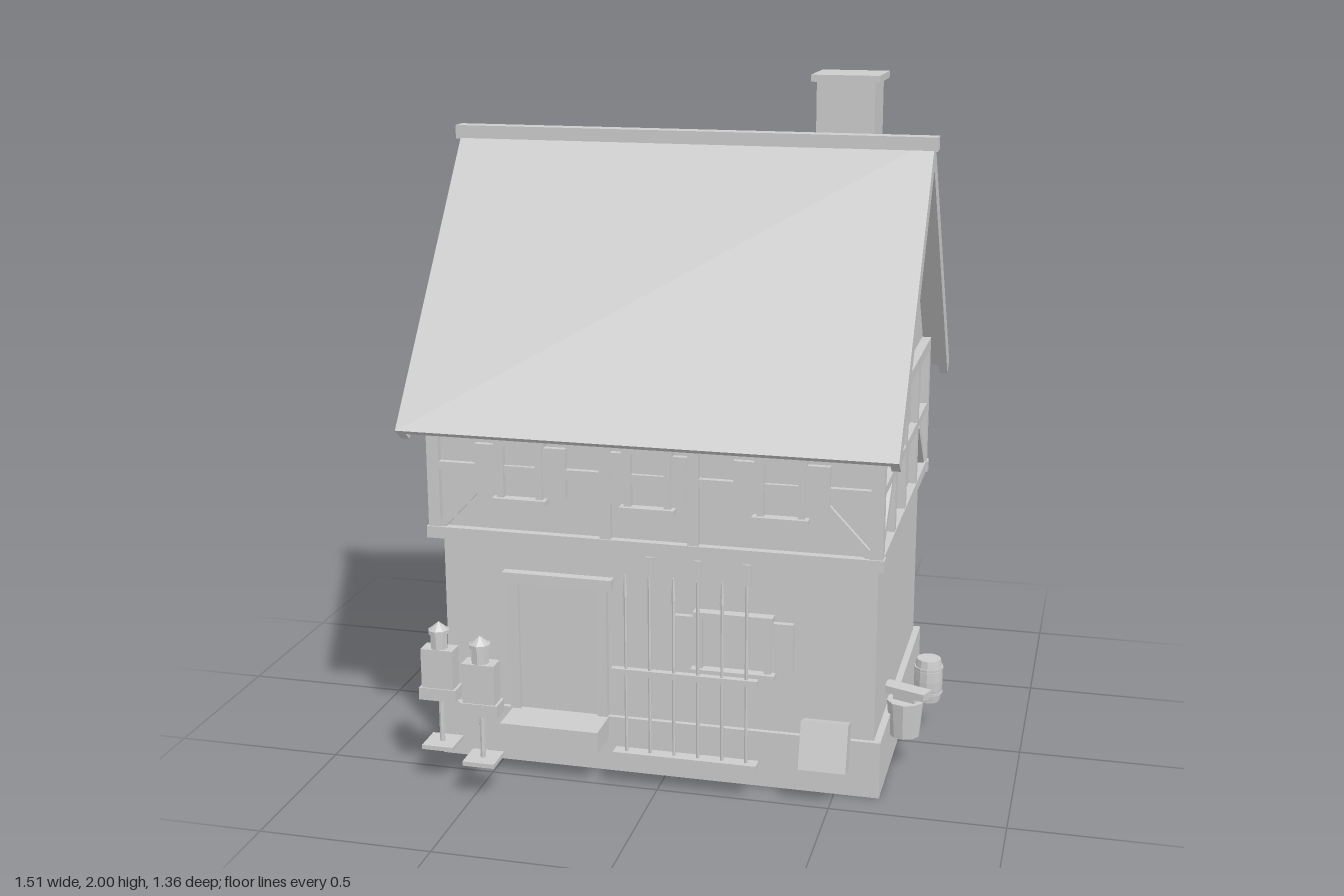
import * as THREE from 'three';

const stone = new THREE.MeshStandardMaterial({ color: 0xcccccc, flatShading: true });
stone.name = 'plain grey';

export function createModel() {
  const house = new THREE.Group();
  house.name = 'timberHouse';

  const add = (name, geometry, x = 0, y = 0, z = 0, parent = house) => {
    const mesh = new THREE.Mesh(geometry, stone);
    mesh.name = name;
    mesh.position.set(x, y, z);
    parent.add(mesh);
    return mesh;
  };
  // box given by its extents
  const box = (name, x0, x1, y0, y1, z0, z1, parent = house) =>
    add(name, new THREE.BoxGeometry(x1 - x0, y1 - y0, z1 - z0),
      (x0 + x1) / 2, (y0 + y1) / 2, (z0 + z1) / 2, parent);
  // profile in (z, y), swept along x
  const sweep = (name, points, x0, x1) => {
    const shape = new THREE.Shape(points.map(([z, y]) => new THREE.Vector2(-z, y)));
    const g = new THREE.ExtrudeGeometry(shape, { depth: x1 - x0, bevelEnabled: false });
    g.rotateY(Math.PI / 2);
    return add(name, g, x0, 0, 0);
  };

  // walls
  box('plinth', -0.69, 0.63, 0, 0.17, -0.53, 0.405);
  box('groundWalls', -0.67, 0.61, 0.17, 0.71, -0.505, 0.39);
  const cz = -0.06;
  sweep('upperWalls', [[0.435, 0.71], [0.435, 1.15], [cz, 1.785], [-0.555, 1.15], [-0.555, 0.71]], -0.665, 0.605);

  // timber frame
  box('sillBeamFront', -0.695, 0.635, 0.70, 0.735, 0.42, 0.46);
  box('sillBeamBack', -0.695, 0.635, 0.70, 0.735, -0.58, -0.54);
  box('plateFront', -0.69, 0.63, 1.09, 1.125, 0.42, 0.455);
  box('plateBack', -0.69, 0.63, 1.09, 1.125, -0.575, -0.54);
  box('railFront', -0.66, 0.60, 0.905, 0.93, 0.43, 0.453);
  box('railBack', -0.66, 0.60, 0.905, 0.93, -0.573, -0.55);
  for (const x of [-0.672, 0.612])
    for (const z of [0.437, -0.557])
      box('cornerPost', x - 0.018, x + 0.018, 0.73, 1.11, z - 0.018, z + 0.018);
  for (const x of [-0.16, 0.095]) box('frontPost', x - 0.016, x + 0.016, 0.73, 1.11, 0.43, 0.455);
  for (const x of [-0.465, -0.215, 0.1, 0.405]) box('backPost', x - 0.015, x + 0.015, 0.73, 1.11, -0.575, -0.55);

  // slanting brace on a front or back wall
  const braceX = (x0, x1, z) => {
    const dx = x1 - x0, dy = 0.165;
    add('brace', new THREE.BoxGeometry(Math.hypot(dx, dy), 0.025, 0.02), (x0 + x1) / 2, 0.82, z)
      .rotation.z = Math.atan2(dy, dx);
  };
  braceX(-0.655, -0.5, 0.44);
  braceX(0.595, 0.44, 0.44);
  braceX(-0.655, -0.5, -0.56);

  // gable timbers, both ends
  for (const [a, b] of [[0.60, 0.63], [-0.69, -0.66]]) {
    box('gableSill', a, b, 0.70, 0.735, -0.58, 0.46);
    box('gableTie', a, b + 0.003, 1.11, 1.145, -0.55, 0.43);
    box('gableRail', a, b - 0.003, 0.905, 0.93, -0.55, 0.43);
    box('kingPost', a, b - 0.003, 1.145, 1.75, cz - 0.016, cz + 0.016);
    for (const z of [0.185, -0.04, -0.305]) box('gablePost', a, b - 0.002, 0.73, 1.11, z - 0.016, z + 0.016);
    for (const [z0, z1] of [[0.42, 0.24], [-0.54, -0.37]]) {
      const dz = z1 - z0, dy = 0.165;
      add('gableBrace', new THREE.BoxGeometry(0.02, 0.025, Math.hypot(dz, dy)), (a + b) / 2, 0.82, (z0 + z1) / 2)
        .rotation.x = -Math.atan2(dy, dz);
    }
  }

  // roof slabs with barge boards: thickness measured square to the slope
  const ridgeY = 1.83, run = 0.617, drop = 0.787;
  for (const s of [1, -1]) {
    const slope = (t) => {
      const v = t / 0.617;
      return [[cz, ridgeY], [cz + s * run, ridgeY - drop],
        [cz + s * (run - t * 0.787), ridgeY - drop - t * 0.617], [cz, ridgeY - v]];
    };
    sweep('roofSlope', slope(0.02), -0.738, 0.678);
    for (const x of [-0.74, 0.655]) sweep('bargeBoard', slope(0.055), x, x + 0.025);
  }
  box('ridgeBeam', -0.755, 0.69, 1.795, 1.835, -0.088, -0.034);

  // chimney
  box('chimney', 0.33, 0.5, 1.5, 1.98, -0.265, -0.095);
  box('chimneyCap', 0.315, 0.515, 1.98, 2.0, -0.28, -0.08);

  // framed window with open shutters
  const makeWindow = (x, y0, y1, w, z, reach) => {
    const g = new THREE.Group();
    g.name = 'window';
    house.add(g);
    const h = w / 2, t = 0.02;
    for (const s of [-1, 1]) {
      box('jamb', x + s * (h - t / 2) - t / 2, x + s * (h - t / 2) + t / 2, y0, y1, z, z + 0.025, g);
      const m = x + s * (h + reach) / 2;
      box('shutter', m - (reach - h) / 2, m + (reach - h) / 2, y0 + 0.012, y1 - 0.02, z, z + 0.018, g);
    }
    box('lintel', x - h - 0.006, x + h + 0.006, y1 - 0.018, y1, z, z + 0.032, g);
    box('windowSill', x - h - 0.012, x + h + 0.012, y0 - 0.008, y0 + 0.008, z, z + 0.038, g);
    box('pane', x - h + t, x + h - t, y0, y1, z, z + 0.006, g);
  };
  for (const [x, r] of [[-0.41, 0.135], [-0.035, 0.112], [0.345, 0.135]]) makeWindow(x, 0.83, 1.01, 0.135, 0.435, r);
  makeWindow(0.203, 0.345, 0.525, 0.22, 0.39, 0.173);

  // door and step
  box('door', -0.44, -0.19, 0.1, 0.57, 0.39, 0.397);
  for (const x of [-0.455, -0.188]) box('doorPost', x - 0.015, x + 0.015, 0.1, 0.57, 0.385, 0.41);
  box('doorLintel', -0.485, -0.155, 0.565, 0.597, 0.385, 0.42);
  box('doorStep', -0.465, -0.17, 0.105, 0.17, 0.4, 0.525);

  // pole rack
  const rack = new THREE.Group();
  rack.name = 'poleRack';
  house.add(rack);
  box('rackBase', -0.125, 0.295, 0.103, 0.117, 0.485, 0.525, rack);
  box('rackRail', -0.13, 0.295, 0.352, 0.37, 0.495, 0.515, rack);
  for (let i = 0; i < 6; i++) {
    const x = -0.088 + i * 0.07, tall = i % 2 === 1;
    const top = tall ? 0.65 : 0.59;
    add('pole', new THREE.CylinderGeometry(0.005, 0.005, top - 0.11, 6), x, (top + 0.11) / 2, 0.505, rack);
    if (tall) box('blade', x - 0.012, x + 0.012, 0.645, 0.71, 0.502, 0.508, rack);
    else add('spearTip', new THREE.CylinderGeometry(0.003, 0.008, 0.065, 6), x, 0.62, 0.505, rack);
  }

  // practice dummies
  for (const [x, z] of [[-0.63, 0.56], [-0.477, 0.637]]) {
    const d = new THREE.Group();
    d.name = 'trainingDummy';
    d.position.set(x, 0, z);
    house.add(d);
    box('foot', -0.047, 0.047, 0.102, 0.115, -0.045, 0.045, d);
    add('stake', new THREE.CylinderGeometry(0.008, 0.008, 0.15, 8), 0, 0.185, 0, d);
    box('torso', -0.048, 0.048, 0.28, 0.405, -0.026, 0.026, d);
    box('skirt', -0.056, 0.056, 0.25, 0.287, -0.03, 0.03, d);
    add('head', new THREE.CylinderGeometry(0.026, 0.026, 0.05, 8), 0, 0.43, 0, d);
    add('helmetBrim', new THREE.CylinderGeometry(0.031, 0.031, 0.012, 8), 0, 0.455, 0, d);
    add('helmet', new THREE.ConeGeometry(0.03, 0.025, 8), 0, 0.472, 0, d);
  }

  // leaning block by the wall
  add('leaningBlock', new THREE.BoxGeometry(0.135, 0.138, 0.06), 0.482, 0.177, 0.472).rotation.x = -0.28;

  // chopping stump with an anvil
  add('stump', new THREE.CylinderGeometry(0.055, 0.045, 0.11, 10), 0.67, 0.155, 0.167);
  const anvil = new THREE.Group();
  anvil.name = 'anvil';
  anvil.position.set(0.672, 0, 0.172);
  anvil.rotation.y = -0.37;
  house.add(anvil);
  box('anvilWaist', -0.035, 0.035, 0.205, 0.232, -0.015, 0.015, anvil);
  box('anvilFace', -0.07, 0.07, 0.228, 0.25, -0.025, 0.025, anvil);

  // barrel with hoops
  const staves = [[0, 0.1], [0.037, 0.1], [0.043, 0.14], [0.044, 0.168], [0.043, 0.2], [0.037, 0.236], [0, 0.236]];
  add('barrel', new THREE.LatheGeometry(staves.map(p => new THREE.Vector2(...p)), 12), 0.707, 0, -0.103);
  for (const y of [0.128, 0.208])
    add('barrelHoop', new THREE.CylinderGeometry(0.045, 0.045, 0.008, 12), 0.707, y, -0.103);

  return house;
}
